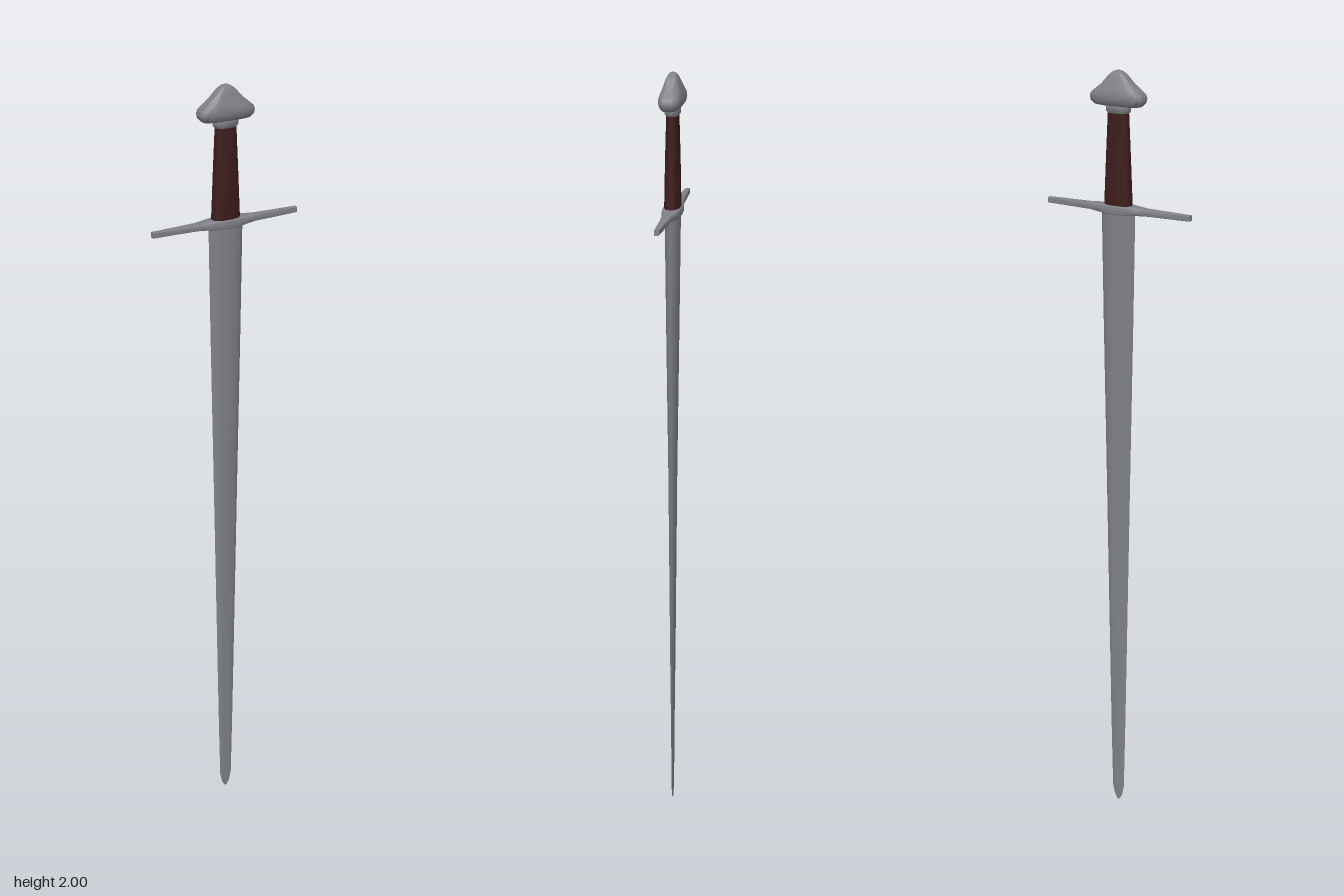
import * as THREE from 'three';
import { toCreasedNormals } from 'three/addons/utils/BufferGeometryUtils.js';

const steel = new THREE.MeshStandardMaterial({ color: 0x808187 });
steel.name = 'steel';
const leather = new THREE.MeshStandardMaterial({ color: 0x3c1c1b });
leather.name = 'dark leather';

// Signed power, used to shape the cross-sections
const pow = (v, p) => Math.sign(v) * Math.pow(Math.abs(v), p);

// Loft along y through [y, halfWidth, halfDepth] sections, rising, capped at both ends.
// px and pz below 1 make the outline boxier; pz above 1 sharpens its sides.
function loft(sections, sides, px, pz, crease) {
  const pos = [], index = [];
  for (const [y, rx, rz] of sections) {
    for (let i = 0; i < sides; i++) {
      const a = (i / sides) * Math.PI * 2;
      pos.push(rx * pow(Math.cos(a), px), y, rz * pow(Math.sin(a), pz));
    }
  }
  for (let s = 0; s < sections.length - 1; s++) {
    for (let i = 0; i < sides; i++) {
      const a = s * sides + i, b = s * sides + (i + 1) % sides;
      index.push(a, a + sides, b, b, a + sides, b + sides);
    }
  }
  const last = (sections.length - 1) * sides;
  const bottom = pos.length / 3;
  pos.push(0, sections[0][0], 0, 0, sections[sections.length - 1][0], 0);
  for (let i = 0; i < sides; i++) {
    const j = (i + 1) % sides;
    index.push(bottom, i, j, bottom + 1, last + j, last + i);
  }
  const geometry = new THREE.BufferGeometry();
  geometry.setAttribute('position', new THREE.Float32BufferAttribute(pos, 3));
  geometry.setIndex(index);
  return toCreasedNormals(geometry, crease);
}

export function createModel() {
  const model = new THREE.Group();
  model.name = 'sword';
  const add = (name, geometry, material) => {
    const mesh = new THREE.Mesh(geometry, material);
    mesh.name = name;
    model.add(mesh);
    return mesh;
  };

  // Blade: lens section tapering to a short rounded point
  add('blade', loft([
    [0, 0.003, 0.001], [0.015, 0.011, 0.0015], [0.045, 0.017, 0.002],
    [0.23, 0.021, 0.003], [0.46, 0.025, 0.006], [1.0, 0.034, 0.01],
    [1.4, 0.041, 0.015], [1.675, 0.045, 0.018],
  ], 16, 1, 1.3, 0.8), steel);

  // Crossguard: swollen around the grip, with slim straight arms
  const guard = add('crossguard', loft([
    [-0.19, 0.007, 0.006], [-0.075, 0.008, 0.0115], [-0.055, 0.009, 0.016],
    [-0.03, 0.011, 0.021], [0, 0.012, 0.023], [0.03, 0.011, 0.021],
    [0.055, 0.009, 0.016], [0.075, 0.008, 0.0115], [0.19, 0.007, 0.006],
  ], 16, 0.4, 0.4, 0.7), steel);
  guard.rotation.z = -Math.PI / 2;
  guard.position.y = 1.678;

  // Grip: oval, narrower towards the pommel
  add('grip', loft([
    [1.685, 0.036, 0.019], [1.8, 0.031, 0.017], [1.91, 0.026, 0.014],
  ], 20, 0.85, 0.85, 0.7), leather);

  // Collar between grip and pommel
  add('collar', loft([
    [1.903, 0.027, 0.015], [1.908, 0.031, 0.018],
    [1.918, 0.031, 0.018], [1.928, 0.028, 0.016],
  ], 20, 0.85, 0.85, 0.7), steel);

  // Pommel: wide flat lobes rising through concave shoulders to a rounded crown
  add('pommel', loft([
    [1.919, 0.045, 0.014], [1.921, 0.06, 0.019], [1.929, 0.068, 0.0245],
    [1.938, 0.07, 0.0265], [1.947, 0.067, 0.0265], [1.956, 0.056, 0.024],
    [1.968, 0.041, 0.02], [1.98, 0.03, 0.016], [1.99, 0.021, 0.0125],
    [1.997, 0.011, 0.008], [2, 0.002, 0.002],
  ], 32, 0.5, 0.6, 1.1), steel);

  return model;
}
